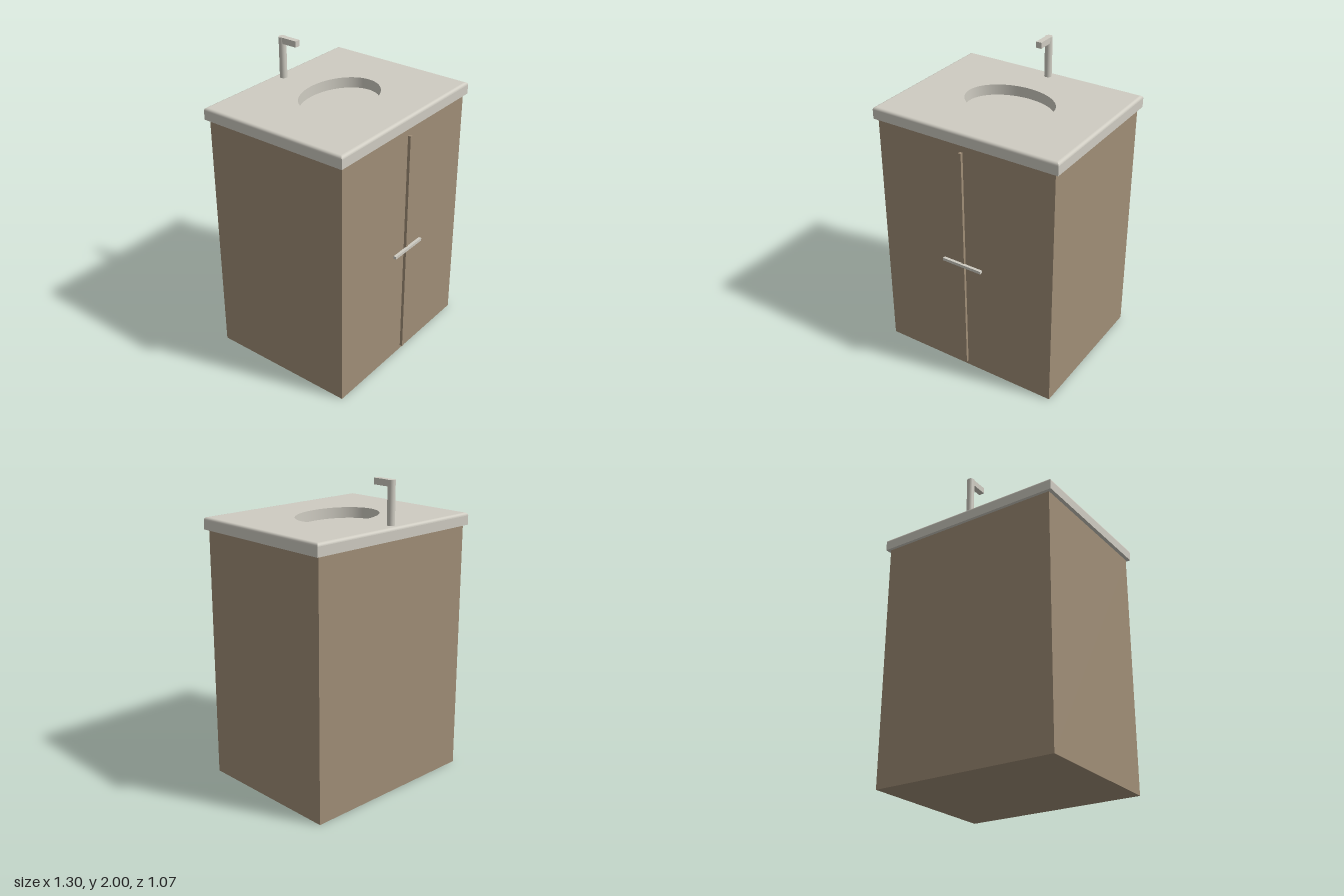
import * as THREE from 'three';

const wood = new THREE.MeshStandardMaterial({ color: 0xa08e77 });
wood.name = 'wood';
const stone = new THREE.MeshStandardMaterial({ color: 0xcfccc2 });
stone.name = 'stone';

// Box given by its minimum and maximum corners
function box(name, material, [x0, y0, z0], [x1, y1, z1]) {
  const mesh = new THREE.Mesh(new THREE.BoxGeometry(x1 - x0, y1 - y0, z1 - z0), material);
  mesh.position.set((x0 + x1) / 2, (y0 + y1) / 2, (z0 + z1) / 2);
  mesh.name = name;
  return mesh;
}

// Countertop: rounded upper edge, flat top with an oval recess
const HALF_X = 0.648, HALF_Z = 0.518, BOTTOM = 1.652, TOP = 1.73, ROUND = 0.018;
const OVAL = { x: 0.3, z: 0.22, depth: 0.07 };

function rimSide(corner) {
  // Edge profile as [inset, height], swept between two mitred corners
  const profile = [[0, BOTTOM], [0, TOP - ROUND]];
  for (let i = 0; i <= 5; i++) {
    const a = (i / 5) * Math.PI / 2;
    profile.push([ROUND * (1 - Math.cos(a)), TOP - ROUND + ROUND * Math.sin(a)]);
  }
  const signs = [[-1, 1], [1, 1], [1, -1], [-1, -1]];
  const ends = [signs[corner], signs[(corner + 1) % 4]];
  const positions = [], index = [];
  profile.forEach(([inset, y], i) => {
    for (const [sx, sz] of ends) positions.push(sx * (HALF_X - inset), y, sz * (HALF_Z - inset));
    if (i > 1 || i === 1) {
      const a = 2 * i - 2;
      index.push(a, a + 1, a + 3, a, a + 3, a + 2);
    }
  });
  const geometry = new THREE.BufferGeometry();
  geometry.setAttribute('position', new THREE.Float32BufferAttribute(positions, 3));
  geometry.setIndex(index);
  geometry.computeVertexNormals();
  return geometry;
}

function createCountertop() {
  const group = new THREE.Group();
  group.name = 'countertop';
  const add = (name, geometry, material = stone) => {
    const mesh = new THREE.Mesh(geometry, material);
    mesh.name = name;
    group.add(mesh);
    return mesh;
  };

  for (let i = 0; i < 4; i++) add('countertopEdge', rimSide(i));

  const w = HALF_X - ROUND, d = HALF_Z - ROUND;
  const shape = new THREE.Shape([[-w, -d], [w, -d], [w, d], [-w, d]].map(p => new THREE.Vector2(...p)));
  const hole = new THREE.Path();
  hole.absellipse(0, 0, OVAL.x, OVAL.z, 0, Math.PI * 2, true);
  shape.holes.push(hole);
  add('countertopSurface', new THREE.ShapeGeometry(shape, 32).rotateX(-Math.PI / 2).translate(0, TOP, 0));
  add('countertopUnderside', new THREE.PlaneGeometry(2 * HALF_X, 2 * HALF_Z).rotateX(Math.PI / 2).translate(0, BOTTOM, 0));

  // Basin recess
  const basinMaterial = stone.clone();
  basinMaterial.name = 'basin stone';
  basinMaterial.side = THREE.DoubleSide;
  const wall = add('basinWall', new THREE.CylinderGeometry(1, 1, OVAL.depth, 64, 1, true), basinMaterial);
  wall.scale.set(OVAL.x, 1, OVAL.z);
  wall.position.y = TOP - OVAL.depth / 2;
  const floor = add('basinFloor', new THREE.CircleGeometry(1, 64).rotateX(-Math.PI / 2));
  floor.scale.set(OVAL.x, 1, OVAL.z);
  floor.position.y = TOP - OVAL.depth;

  group.position.z = -0.015;
  return group;
}

function createFaucet() {
  const group = new THREE.Group();
  group.name = 'faucet';
  const post = new THREE.Mesh(new THREE.CylinderGeometry(0.024, 0.024, 2 - TOP, 32), stone);
  post.position.set(0, (2 + TOP) / 2, -0.469);
  post.name = 'faucetPost';
  group.add(post, box('faucetSpout', stone, [-0.019, 1.96, -0.469], [0.019, 2, -0.346]));
  return group;
}

export function createModel() {
  const model = new THREE.Group();
  model.name = 'vanityCabinet';
  model.add(
    box('cabinet', wood, [-0.623, 0, -0.513], [0.623, BOTTOM, 0.485]),
    // Strip between the doors and the shared handle, standing off the front
    box('doorStrip', wood, [-0.009, 0.046, 0.499], [0.009, 1.608, 0.518]),
    box('handle', stone, [-0.14, 0.817, 0.514], [0.14, 0.836, 0.533]),
    createCountertop(),
    createFaucet()
  );
  return model;
}
